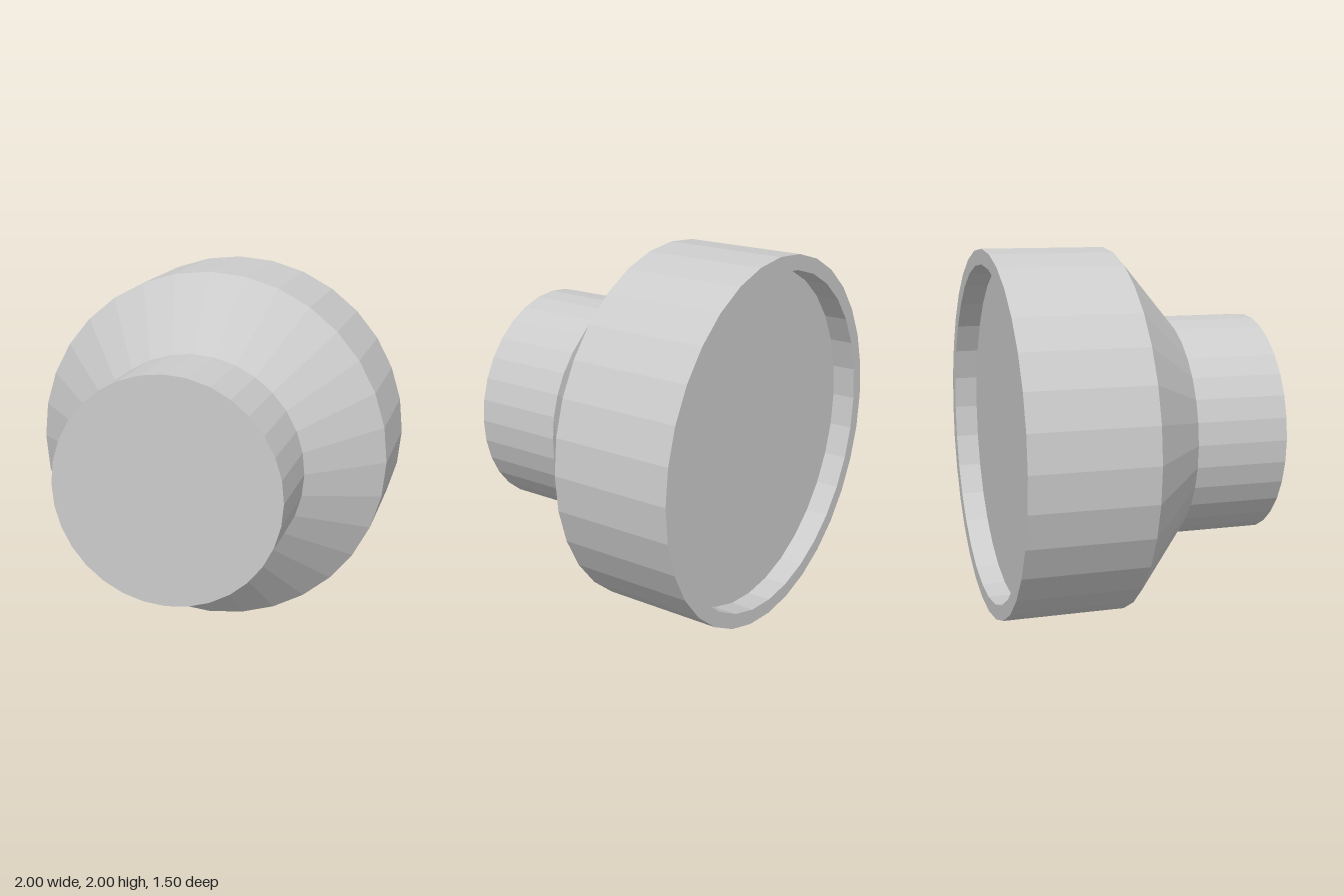
import * as THREE from 'three';

const SIDES = 32;
const material = new THREE.MeshStandardMaterial({ color: 0xcccccc, flatShading: true });

// Revolves a [radius, z] profile, running back to front, around the z axis
function turned(name, profile) {
  const points = profile.map(([r, z]) => new THREE.Vector2(r, z));
  const geometry = new THREE.LatheGeometry(points, SIDES).rotateX(Math.PI / 2);
  const mesh = new THREE.Mesh(geometry, material);
  mesh.name = name;
  mesh.position.y = 1;
  return mesh;
}

export function createModel() {
  const outer = 1, recess = 0.918, neck = 0.613;
  const back = -0.75, floor = -0.62, shoulder = -0.085, neckStart = 0.25, front = 0.75;

  const model = new THREE.Group();
  model.name = 'reducer';
  model.add(
    // Shallow recess in the back face
    turned('backRecess', [[0, floor], [recess, floor], [recess, back]]),
    // Flat rim and wide drum
    turned('drum', [[recess, back], [outer, back], [outer, shoulder]]),
    // Cone down to the neck
    turned('taper', [[outer, shoulder], [neck, neckStart]]),
    // Narrow neck with closed front
    turned('neck', [[neck, neckStart], [neck, front], [0, front]]),
  );
  return model;
}
